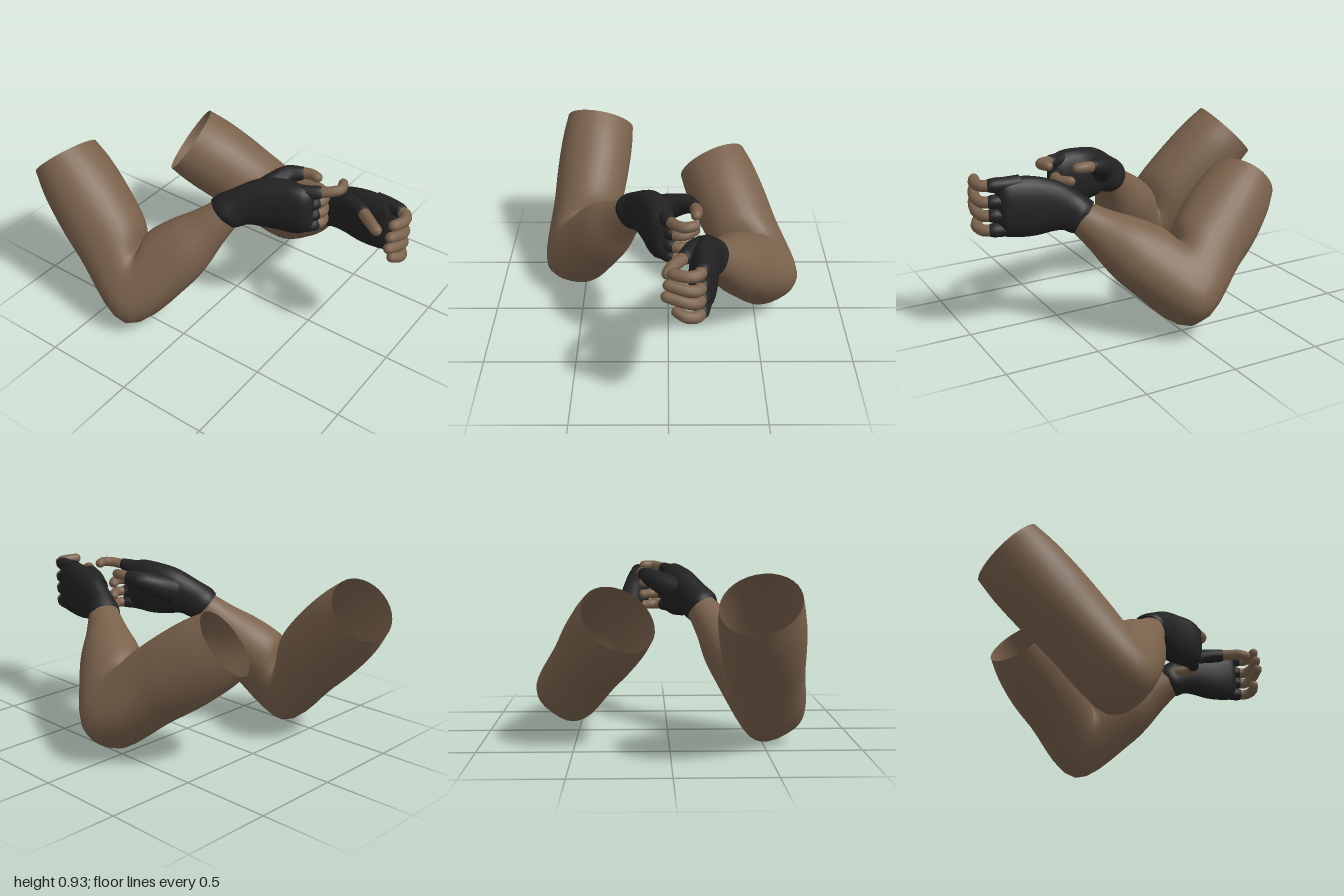
import * as THREE from 'three';

const skin = new THREE.MeshStandardMaterial({ color: 0x7a624c, side: THREE.DoubleSide });
skin.name = 'skin';
const leather = new THREE.MeshStandardMaterial({ color: 0x222223, side: THREE.DoubleSide });
leather.name = 'black leather';

const V = (a) => new THREE.Vector3(a[0], a[1], a[2]);

// Ring around c, facing along t; ru is the radius towards "up", rs sideways, power < 1 squares it off
function ring(c, t, up, rs, ru, n, power = 1) {
  const T = t.clone().normalize();
  const A = up.clone().cross(T).normalize();
  const B = T.clone().cross(A);
  const bend = (v) => Math.sign(v) * Math.abs(v) ** power;
  return Array.from({ length: n }, (_, j) => {
    const q = (j / n) * Math.PI * 2;
    return c.clone()
      .addScaledVector(A, bend(Math.cos(q)) * rs)
      .addScaledVector(B, bend(Math.sin(q)) * ru);
  });
}

// Smooth surface running through a list of rings
function loft(name, rings, steps, material) {
  const n = rings[0].length, rows = (rings.length - 1) * steps, pos = [], index = [];
  const columns = rings[0].map((_, j) => new THREE.CatmullRomCurve3(rings.map((r) => r[j])));
  for (let i = 0; i <= rows; i++) {
    for (let j = 0; j < n; j++) {
      const p = columns[j].getPoint(i / rows);
      pos.push(p.x, p.y, p.z);
      if (i < rows) {
        const a = i * n + j, b = i * n + ((j + 1) % n);
        index.push(a, b, a + n, b, b + n, a + n);
      }
    }
  }
  const g = new THREE.BufferGeometry();
  g.setAttribute('position', new THREE.Float32BufferAttribute(pos, 3));
  g.setIndex(index);
  g.computeVertexNormals();
  const mesh = new THREE.Mesh(g, material);
  mesh.name = name;
  return mesh;
}

// Bent arm, open at the shoulder, with a mitred elbow
function arm(name, shoulder, elbow, wrist) {
  const S = V(shoulder), E = V(elbow), W = V(wrist);
  const u = S.clone().sub(E), f = W.clone().sub(E);
  const lu = u.length(), lf = f.length();
  u.normalize();
  f.normalize();
  const n = u.clone().cross(f).normalize();
  const back = u.clone().negate();
  const rings = [];
  const add = (dir, d, t, rBend, rSide, power) =>
    rings.push(ring(E.clone().addScaledVector(dir, d), t, n, rBend, rSide, 32, power));
  // upper arm
  add(u, lu, back, 0.18, 0.205);
  add(u, lu * 0.84, back, 0.206, 0.214);
  add(u, lu * 0.6, back, 0.218, 0.212);
  add(u, lu * 0.35, back, 0.205, 0.198, 0.92);
  // elbow
  add(u, 0, f.clone().sub(u), 0.222, 0.187, 0.74);
  // forearm
  add(f, lf * 0.36, f, 0.184, 0.168, 0.92);
  add(f, lf * 0.58, f, 0.162, 0.152);
  add(f, lf * 0.8, f, 0.118, 0.112);
  add(f, lf * 1.02, f, 0.084, 0.084);
  return loft(name, rings, 5, skin);
}

const UP = new THREE.Vector3(0, 1, 0);

// Palm and cuff; each section is [x, y, z, dirX, dirY, dirZ, side radius, up radius]
function palm(name, sections) {
  const rings = sections.map((s) => ring(V(s), V(s.slice(3)), UP, s[6], s[7], 28, 0.92));
  return loft(name, rings, 5, leather);
}

// Tapered tube along a path with a rounded tip
function digit(name, points, r0, r1, material) {
  const curve = new THREE.CatmullRomCurve3(points.map(V));
  const rings = [], N = 10;
  for (let i = 0; i <= N; i++) {
    const r = r0 + (r1 - r0) * (i / N);
    rings.push(ring(curve.getPoint(i / N), curve.getTangent(i / N), UP, r, r, 12));
  }
  const end = curve.getPoint(1), t = curve.getTangent(1);
  for (const [d, k] of [[0.5, 0.86], [0.85, 0.5], [1, 0.01]]) {
    rings.push(ring(end.clone().addScaledVector(t, d * r1), t, UP, r1 * k, r1 * k, 12));
  }
  return loft(name, rings, 1, material);
}

// Bare finger emerging from a gloved stub that starts with radius rBase
function finger(group, name, stub, bare, r, rBase) {
  group.add(digit(name + 'Sleeve', stub, rBase, r * 1.2, leather));
  group.add(digit(name, [stub[stub.length - 1], ...bare], r, r * 0.9, skin));
}

export function createModel() {
  const model = new THREE.Group();
  model.name = 'glovedArms';

  model.add(arm('leftArm', [0.262, 0.672, -0.528], [0.52, 0.262, 0], [0.222, 0.62, 0.45]));
  model.add(arm('rightArm', [-0.416, 0.782, -0.868], [-0.522, 0.212, -0.3], [-0.195, 0.67, 0.075]));

  // Left hand, reaching forward
  const left = new THREE.Group();
  left.name = 'leftHand';
  left.add(palm('leftGlove', [
    [0.23, 0.612, 0.43, -0.42, 0.5, 0.72, 0.085, 0.094],
    [0.22, 0.627, 0.457, -0.42, 0.48, 0.74, 0.092, 0.101],
    [0.203, 0.655, 0.5, -0.3, 0.35, 0.85, 0.078, 0.108],
    [0.188, 0.684, 0.57, -0.1, 0.2, 1, 0.075, 0.13],
    [0.175, 0.7, 0.68, 0, 0.05, 1, 0.074, 0.155],
    [0.167, 0.708, 0.78, 0, 0, 1, 0.072, 0.158],
    [0.163, 0.713, 0.85, 0, 0, 1, 0.06, 0.148],
    [0.16, 0.715, 0.875, 0, 0, 1, 0.03, 0.12],
    [0.16, 0.715, 0.88, 0, 0, 1, 0.001, 0.001],
  ]));
  ['Index', 'Middle', 'Ring', 'Little'].forEach((f, i) => {
    const y = [0.835, 0.75, 0.68, 0.603][i];
    const tip = [0.02, 0, -0.01, 0.04][i];
    const rise = [0.005, 0.028, 0.035, 0.025][i];
    finger(left, 'left' + f + 'Finger',
      [[0.17, y, 0.76], [0.168, y, 0.84], [0.158, y, 0.9]],
      [[0.135, y, 0.945], [0.085, y + rise * 0.4, 0.962], [tip, y + rise, 0.94]], 0.031, 0.04);
  });
  finger(left, 'leftThumb',
    [[0.17, 0.75, 0.56], [0.125, 0.785, 0.64], [0.08, 0.8, 0.73]],
    [[0.045, 0.8, 0.78], [0.015, 0.8, 0.82], [-0.005, 0.79, 0.86]], 0.032, 0.06);
  model.add(left);

  // Right hand, held behind the left one
  const right = new THREE.Group();
  right.name = 'rightHand';
  right.add(palm('rightGlove', [
    [-0.2, 0.665, 0.06, 0.48, 0.67, 0.54, 0.093, 0.096],
    [-0.187, 0.684, 0.083, 0.48, 0.65, 0.58, 0.1, 0.102],
    [-0.155, 0.712, 0.135, 0.4, 0.4, 0.6, 0.086, 0.107],
    [-0.1, 0.742, 0.22, 0.35, 0.15, 0.9, 0.09, 0.135],
    [-0.06, 0.752, 0.32, 0.3, 0.05, 0.9, 0.092, 0.148],
    [-0.045, 0.755, 0.41, 0.25, 0, 0.9, 0.08, 0.148],
    [-0.033, 0.755, 0.46, 0.25, 0, 0.9, 0.068, 0.135],
    [-0.022, 0.755, 0.495, 0.25, 0, 0.9, 0.04, 0.1],
    [-0.02, 0.755, 0.5, 0.25, 0, 0.9, 0.001, 0.001],
  ]));
  finger(right, 'rightIndexFinger',
    [[-0.04, 0.855, 0.4], [-0.02, 0.862, 0.46], [0.005, 0.868, 0.51]],
    [[0.04, 0.878, 0.57], [0.08, 0.883, 0.6], [0.13, 0.883, 0.582]], 0.029, 0.04);
  ['Middle', 'Ring', 'Little'].forEach((f, i) => {
    const y = [0.785, 0.715, 0.65][i];
    finger(right, 'right' + f + 'Finger',
      [[-0.04, y, 0.4], [-0.02, y, 0.45], [0.015, y, 0.49]],
      [[0.06, y, 0.51], [0.1, y, 0.495], [0.135, y, 0.46]], 0.029, 0.043);
  });
  // broad thumb base filling the web towards the palm
  finger(right, 'rightThumb',
    [[-0.07, 0.76, 0.2], [0.02, 0.795, 0.225], [0.095, 0.83, 0.265], [0.13, 0.845, 0.325]],
    [[0.142, 0.85, 0.36], [0.145, 0.852, 0.39], [0.14, 0.85, 0.42]], 0.031, 0.08);
  model.add(right);

  return model;
}
